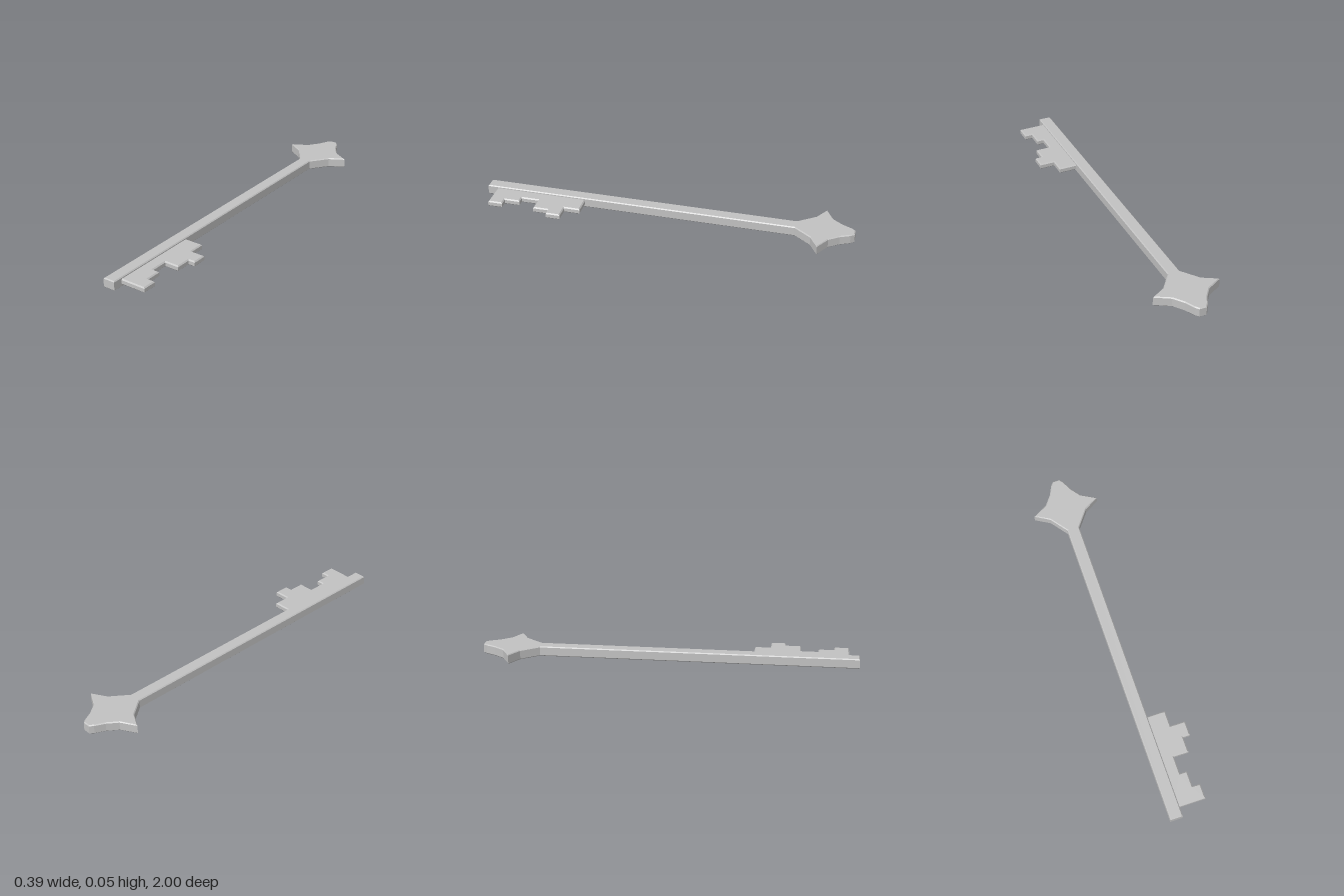
import * as THREE from 'three';

const steel = new THREE.MeshStandardMaterial({ color: 0xc2c2c2 });
steel.name = 'steel grey';

// Bevelled flat plate from an outline of [x, z] points, between two heights
function plate(name, outline, bottom, top, bevel) {
  const shape = new THREE.Shape(outline.map(([x, z]) => new THREE.Vector2(x, z)));
  const geometry = new THREE.ExtrudeGeometry(shape, {
    depth: top - bottom - 2 * bevel,
    bevelEnabled: true,
    bevelThickness: bevel,
    bevelSize: bevel,
    bevelOffset: -bevel,
    bevelSegments: 1,
  });
  geometry.rotateX(Math.PI / 2);
  geometry.translate(0, top - bevel, 0);
  const mesh = new THREE.Mesh(geometry, steel);
  mesh.name = name;
  return mesh;
}

export function createModel() {
  const key = new THREE.Group();
  key.name = 'key';

  // Shaft and four-pointed head share one outline, mirrored about the shaft axis
  const axis = -0.017;
  const half = [
    [0.019, -1], [0.035, -0.98], [0.06, -0.928], [0.1, -0.874],
    [0.18, -0.828], [0.102, -0.782], [0.033, -0.69], [0.033, 1],
  ];
  const outline = [
    ...half.map(([x, z]) => [axis + x, z]),
    ...half.slice().reverse().map(([x, z]) => [axis - x, z]),
  ];
  key.add(plate('shaftAndHead', outline, 0, 0.053, 0.005));

  // Thinner stepped bit on the side of the shaft, its root buried in the shaft
  const bit = [
    [-0.017, 0.447], [0.115, 0.447], [0.115, 0.532], [0.195, 0.532],
    [0.195, 0.61], [0.157, 0.61], [0.157, 0.692], [0.077, 0.692],
    [0.077, 0.785], [0.115, 0.785], [0.115, 0.868], [0.157, 0.868],
    [0.157, 0.947], [-0.017, 0.947],
  ];
  key.add(plate('bit', bit, 0.012, 0.043, 0.006));

  return key;
}
